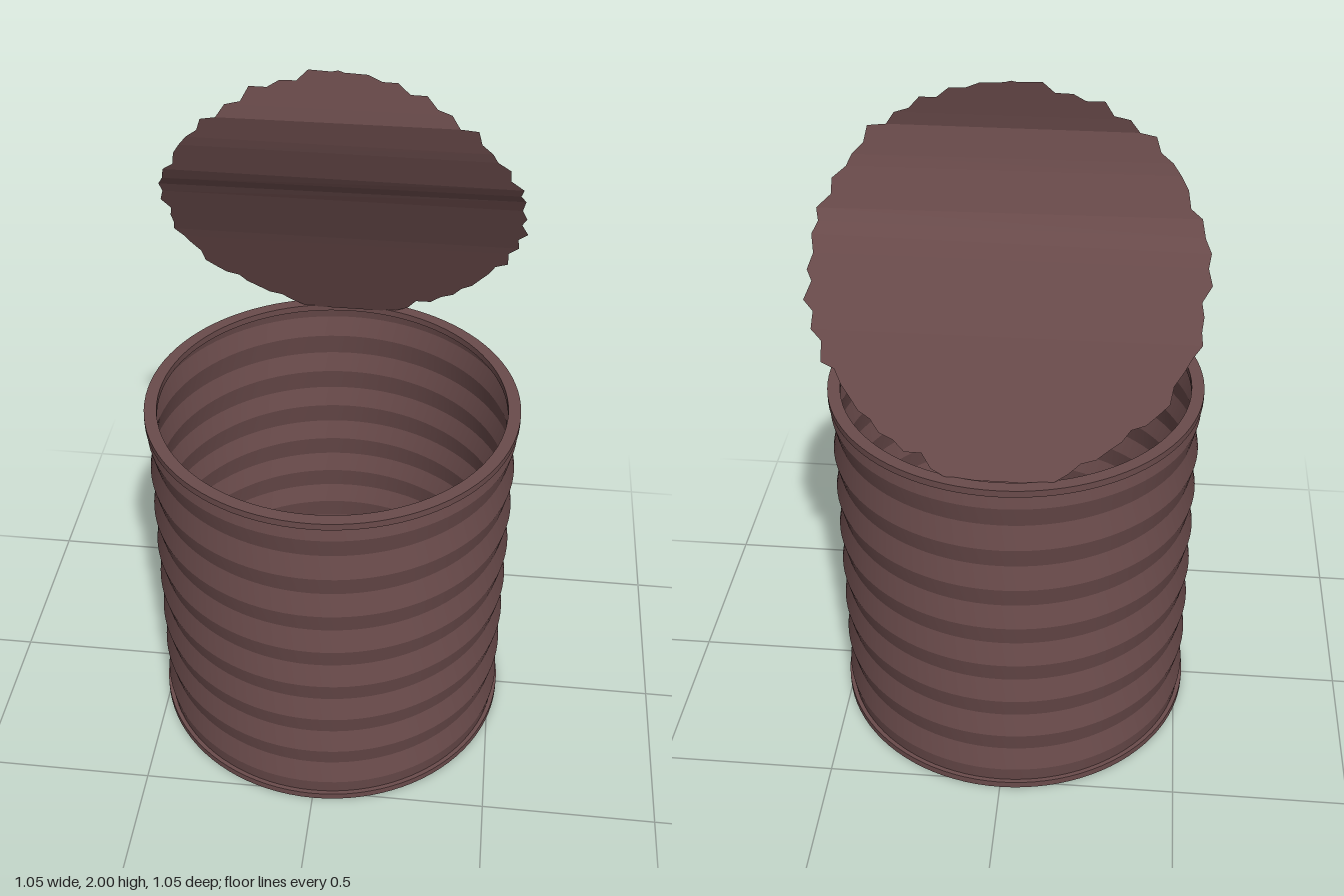
import * as THREE from 'three';
import { toCreasedNormals } from 'three/addons/utils/BufferGeometryUtils.js';

const tin = new THREE.MeshStandardMaterial({ color: 0x6a4b4b, side: THREE.DoubleSide });
tin.name = 'dull brown tin';

const V2 = (x, y) => new THREE.Vector2(x, y);

// Spun part with sharp ribs but smooth sides
function spin(name, points) {
  const geometry = toCreasedNormals(new THREE.LatheGeometry(points, 96), 0.12);
  const mesh = new THREE.Mesh(geometry, tin);
  mesh.name = name;
  return mesh;
}

// Rolled lip around each end of the can
function rim(name, y0, y1) {
  return spin(name, [V2(0.49, y0), V2(0.525, y0), V2(0.525, y1), V2(0.49, y1), V2(0.49, y0)]);
}

// Lid side profile: points (z, y) from the hinge to the curled tip
const bend = [
  [-0.48, 1.07], [-0.33, 1.4], [-0.225, 1.6], [-0.18, 1.66],
  [-0.13, 1.78], [-0.105, 1.87], [-0.13, 2.0],
];

function alongBend(s) {
  let rest = Math.max(0, s);
  for (let i = 1; i < bend.length; i++) {
    const [z0, y0] = bend[i - 1], [z1, y1] = bend[i];
    const length = Math.hypot(z1 - z0, y1 - y0);
    if (rest <= length || i === bend.length - 1) {
      const f = Math.min(1, rest / length);
      return [z0 + (z1 - z0) * f, y0 + (y1 - y0) * f];
    }
    rest -= length;
  }
}

// Torn, bent lid made of strips between jagged left and right edges
function makeLid() {
  let seed = 7;
  const random = () => (seed = (seed * 16807) % 2147483647) / 2147483647;
  const steps = 36;
  const edge = (side) => {
    const points = [];
    for (let i = 0; i <= steps; i++) {
      const t = 0.27 + (Math.PI - 0.34) * i / steps;
      const r = 0.485 + (i % 2) * 0.012 + random() * 0.02;
      const s = i === 0 ? 0 : 0.51 - r * Math.cos(t + (random() - 0.5) * 0.03);
      const [z, y] = alongBend(s);
      points.push([side * r * Math.sin(t), y, z]);
    }
    return points;
  };
  const left = edge(1), right = edge(-1);
  const position = [];
  for (let i = 0; i < steps; i++) {
    position.push(...right[i], ...left[i], ...left[i + 1]);
    position.push(...right[i], ...left[i + 1], ...right[i + 1]);
  }
  // Closing tip
  const [z, y] = alongBend(2);
  position.push(...right[steps], ...left[steps], 0, y, z);
  const geometry = new THREE.BufferGeometry();
  geometry.setAttribute('position', new THREE.Float32BufferAttribute(position, 3));
  geometry.computeVertexNormals();
  const lid = new THREE.Mesh(geometry, tin);
  lid.name = 'tornLid';
  return lid;
}

export function createModel() {
  const can = new THREE.Group();
  can.name = 'openTinCan';

  // Ribbed wall, each rib flaring out then tapering in
  const wall = [V2(0.512, 0.015)];
  for (let i = 0; i < 8; i++) {
    const y = 0.005 + i * 0.135;
    if (i > 0) wall.push(V2(0.506, y));
    if (i < 8) wall.push(V2(0.52, y + 0.063));
  }
  wall.push(V2(0.512, 1.06));
  can.add(spin('ribbedWall', wall));

  can.add(rim('bottomRim', 0, 0.02));
  can.add(rim('topRim', 1.055, 1.075));

  // Floor, slightly recessed
  const floor = new THREE.Mesh(new THREE.CylinderGeometry(0.492, 0.492, 0.008, 96), tin);
  floor.name = 'floor';
  floor.position.y = 0.012;
  can.add(floor);

  can.add(makeLid());
  return can;
}
